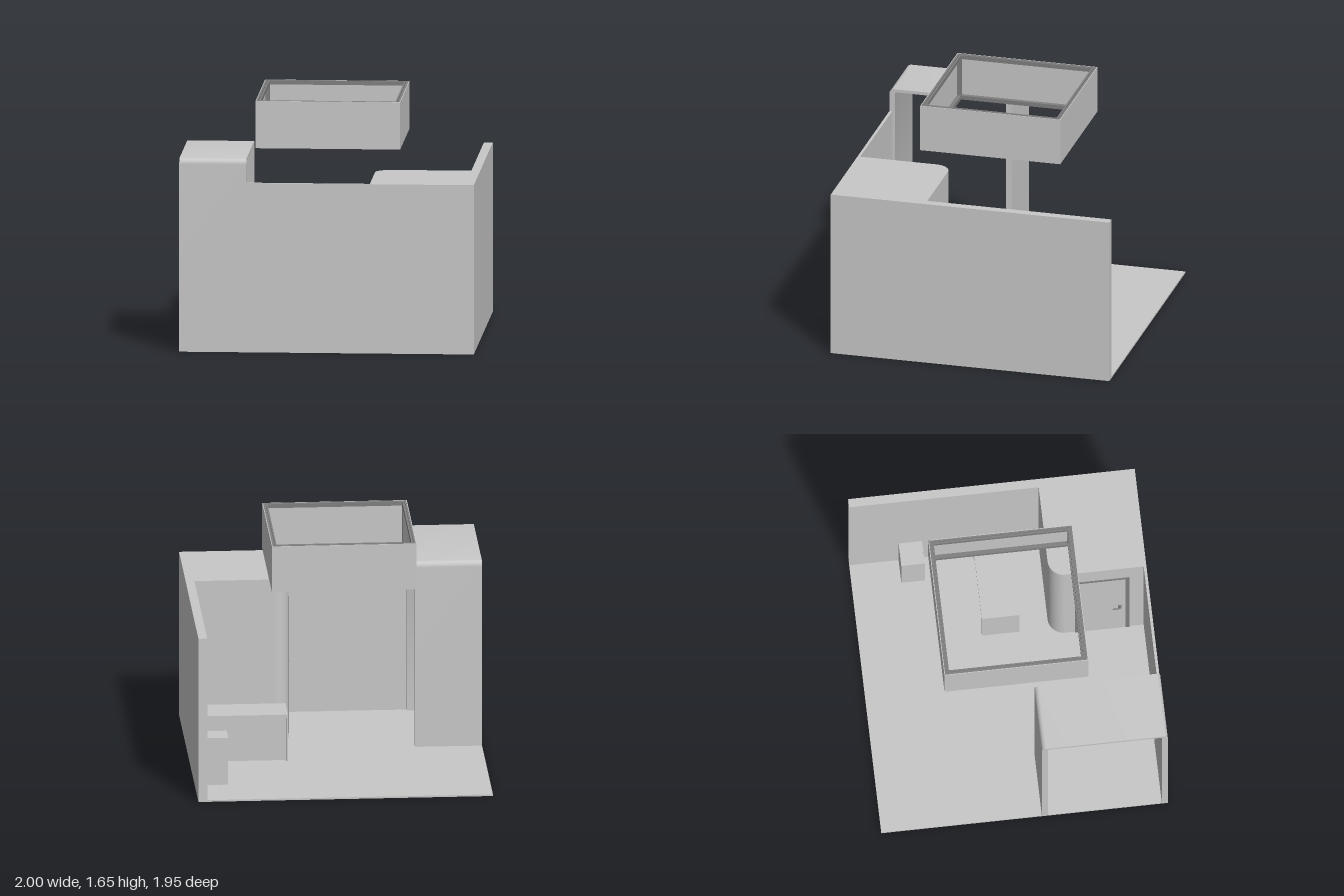
import * as THREE from 'three';
import { toCreasedNormals } from 'three/addons/utils/BufferGeometryUtils.js';

const panelGrey = new THREE.MeshStandardMaterial({ name: 'panelGrey', color: 0xc8c8c8 });
const metalGrey = new THREE.MeshStandardMaterial({ name: 'metalGrey', color: 0x808080 });

const W = 1, D = 0.977, FLOOR = 0.012, H = 1.16;

function add(parent, name, geometry, material = panelGrey) {
  const mesh = new THREE.Mesh(geometry, material);
  mesh.name = name;
  parent.add(mesh);
  return mesh;
}

// Box given by its limits on each axis
function box(parent, name, [x0, x1], [y0, y1], [z0, z1], material) {
  const g = new THREE.BoxGeometry(x1 - x0, y1 - y0, z1 - z0);
  g.translate((x0 + x1) / 2, (y0 + y1) / 2, (z0 + z1) / 2);
  return add(parent, name, g, material);
}

// Extrude a plan drawn in x,z between two heights
function plan(parent, name, shape, y0, y1, material) {
  const g = new THREE.ExtrudeGeometry(shape, { depth: y1 - y0, bevelEnabled: false, curveSegments: 16 });
  g.rotateX(Math.PI / 2).translate(0, y1, 0);
  return add(parent, name, toCreasedNormals(g, 0.5), material);
}

function square(path, r) {
  return path.moveTo(-r, -r).lineTo(r, -r).lineTo(r, r).lineTo(-r, r).closePath();
}

// Square ring between two half-widths
function ring(parent, name, outer, inner, y0, y1, material) {
  const s = square(new THREE.Shape(), outer);
  s.holes.push(square(new THREE.Path(), inner));
  return plan(parent, name, s, y0, y1, material);
}

function group(parent, name) {
  const g = new THREE.Group();
  g.name = name;
  parent.add(g);
  return g;
}

export function createModel() {
  const model = new THREE.Group();
  model.name = 'exhibitionStand';

  // Floor and the two outer walls
  box(model, 'floor', [-W, W], [0, FLOOR], [-D, D]);
  box(model, 'sideWall', [0.94, W], [FLOOR, H], [-D, D]);
  box(model, 'frontWall', [-0.545, 0.94], [FLOOR, H], [0.958, D]);

  // Storage room with one rounded corner
  const x0 = 0.293, z0 = 0.315, r = 0.11;
  const room = new THREE.Shape();
  room.moveTo(0.94, z0).lineTo(0.94, 0.958).lineTo(x0, 0.958).lineTo(x0, z0 + r);
  room.absarc(x0 + r, z0 + r, r, Math.PI, Math.PI * 1.5, false);
  room.closePath();
  plan(model, 'storageRoom', room, FLOOR, H);

  // Door with jambs and a lever handle
  const door = group(model, 'door');
  const top = 0.96;
  box(door, 'doorLeaf', [x0 - 0.004, x0], [FLOOR, top], [0.515, 0.835]);
  for (const z of [0.49, 0.835]) box(door, 'doorJamb', [x0 - 0.006, x0], [FLOOR, top], [z, z + 0.025], metalGrey);
  box(door, 'doorHead', [x0 - 0.006, x0], [top, top + 0.02], [0.49, 0.86], metalGrey);
  box(door, 'handlePlate', [x0 - 0.008, x0 - 0.004], [0.4, 0.46], [0.782, 0.806], metalGrey);
  const lever = new THREE.CatmullRomCurve3([
    [x0, 0.435, 0.795], [x0 - 0.018, 0.435, 0.795], [x0 - 0.023, 0.435, 0.785], [x0 - 0.023, 0.435, 0.742],
  ].map(p => new THREE.Vector3(...p)), false, 'catmullrom', 0.2);
  add(door, 'handleLever', new THREE.TubeGeometry(lever, 16, 0.005, 8, false), metalGrey);

  // Tall portal, open from side to side
  const zb = 0.118, t = 0.041, ph = 1.324, roof = 0.022, pr = 0.035, ir = 0.008;
  const arch = new THREE.Shape();
  arch.moveTo(zb, FLOOR).lineTo(zb + t, FLOOR).lineTo(zb + t, ph - roof - ir);
  arch.quadraticCurveTo(zb + t, ph - roof, zb + t + ir, ph - roof);
  arch.lineTo(D - t - ir, ph - roof);
  arch.quadraticCurveTo(D - t, ph - roof, D - t, ph - roof - ir);
  arch.lineTo(D - t, FLOOR).lineTo(D, FLOOR).lineTo(D, ph - pr);
  arch.absarc(D - pr, ph - pr, pr, 0, Math.PI / 2, false);
  arch.lineTo(zb + pr, ph);
  arch.absarc(zb + pr, ph - pr, pr, Math.PI / 2, Math.PI, false);
  arch.closePath();
  const archGeo = new THREE.ExtrudeGeometry(arch, { depth: 0.455, bevelEnabled: false, curveSegments: 10 });
  archGeo.rotateY(-Math.PI / 2).translate(-0.545, 0, 0);
  add(model, 'portal', toCreasedNormals(archGeo, 0.5));

  // Counter with a recessed back
  const counter = group(model, 'counter');
  box(counter, 'counterTop', [0.335, 0.92], [0.32, 0.342], [-0.14, 0.117]);
  box(counter, 'counterBody', [0.347, 0.89], [FLOOR, 0.32], [-0.115, 0.117]);
  box(counter, 'counterEnd', [0.335, 0.347], [FLOOR, 0.32], [-0.14, 0.117]);
  box(counter, 'counterEnd', [0.89, 0.92], [FLOOR, 0.32], [-0.14, 0.117]);

  // Small cabinet with a groove down the middle of each face
  const cabinet = group(model, 'cabinet');
  box(cabinet, 'cabinetHalf', [0.775, 0.851], [FLOOR, 0.345], [-0.64, -0.48]);
  box(cabinet, 'cabinetHalf', [0.859, 0.938], [FLOOR, 0.345], [-0.64, -0.48]);
  box(cabinet, 'cabinetCore', [0.851, 0.859], [FLOOR, 0.345], [-0.634, -0.486]);

  // Hanging square fascia: outer skin lined with a metal frame
  const fascia = group(model, 'hangingFascia');
  fascia.position.x = -0.023;
  const y0 = 1.326, y1 = 1.65, bar = 0.028;
  ring(fascia, 'fasciaSkin', 0.491, 0.486, y0, y1);
  for (const [outer, inner, inset] of [[0.486, 0.474, 0], [0.474, 0.468, 0.01], [0.468, 0.457, 0]]) {
    ring(fascia, 'topRail', outer, inner, y1 - bar, y1 - inset, metalGrey);
    ring(fascia, 'bottomRail', outer, inner, y0 + inset, y0 + bar, metalGrey);
  }
  for (const sx of [-1, 1]) for (const sz of [-1, 1]) {
    const post = add(fascia, 'cornerPost', new THREE.BoxGeometry(0.028, y1 - y0 - 2 * bar, 0.028), metalGrey);
    post.position.set(sx * 0.472, (y0 + y1) / 2, sz * 0.472);
  }
  return model;
}
